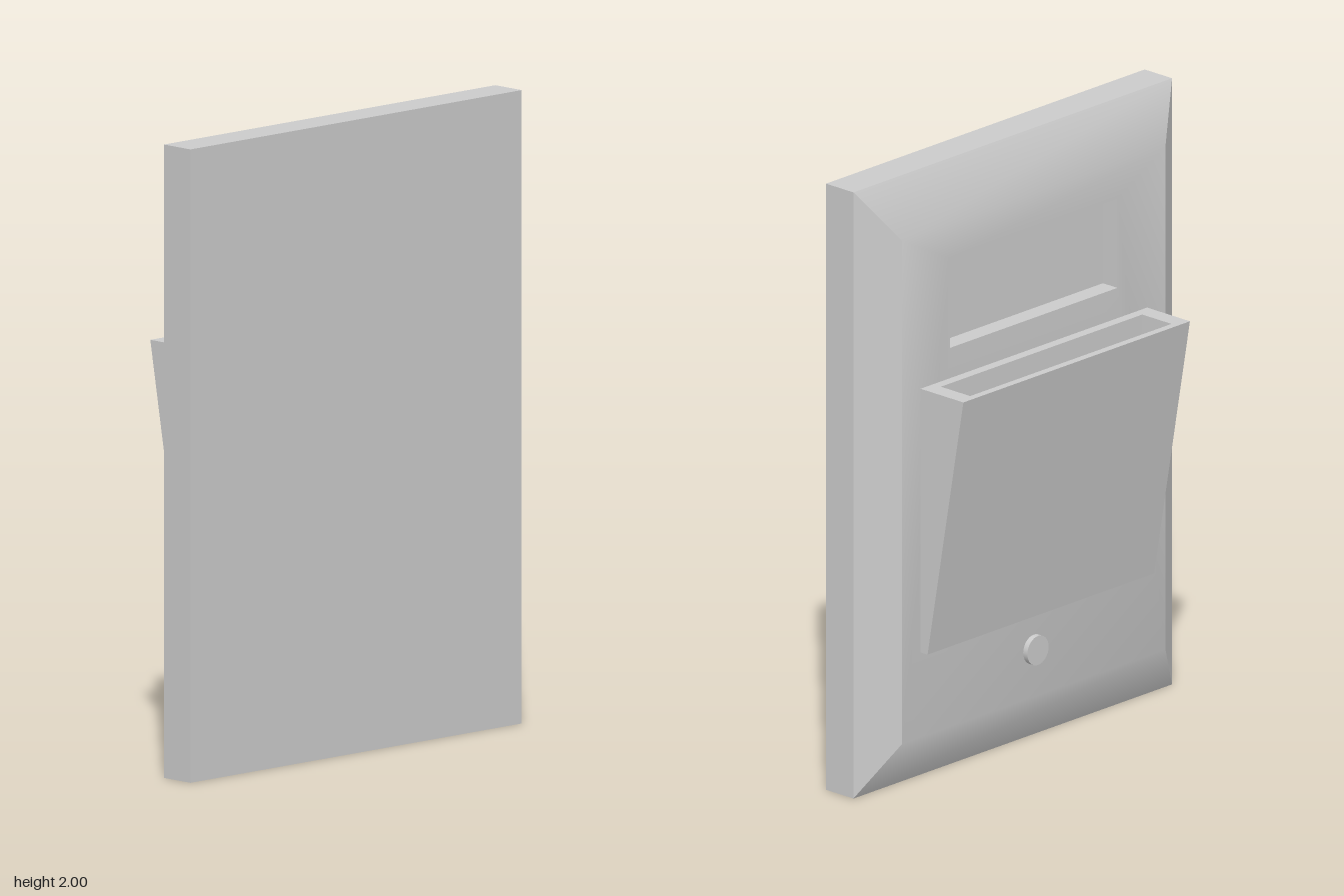
import * as THREE from 'three';
import { mergeGeometries, toCreasedNormals } from 'three/addons/utils/BufferGeometryUtils.js';

const FACE_Z = -0.012; // plane of the raised rear face

// Rectangle rings: upright ones run anticlockwise seen from +z, level ones seen from +y
const upright = (w, y0, y1, z) => [[-w, y0, z], [w, y0, z], [w, y1, z], [-w, y1, z]];
const level = (w, zFront, zBack, y) => [[-w, y, zFront], [w, y, zFront], [w, y, zBack], [-w, y, zBack]];

const quad = (a, b, c, d) => [a, b, c, a, c, d].flat();
const cap = (r) => quad(...r);
const capReversed = (r) => quad(...[...r].reverse());
const band = (a, b) => [0, 1, 2, 3].flatMap((i) => {
  const j = (i + 1) % 4;
  return quad(b[i], b[j], a[j], a[i]);
});

function toGeometry(...pieces) {
  const g = new THREE.BufferGeometry();
  g.setAttribute('position', new THREE.Float32BufferAttribute(pieces.flat(), 3));
  return g;
}

function rectPath(target, [a, b, c, d]) {
  target.moveTo(a[0], a[1]);
  for (const p of [b, c, d]) target.lineTo(p[0], p[1]);
  target.closePath();
  return target;
}

export function createModel() {
  const group = new THREE.Group();
  const material = new THREE.MeshStandardMaterial({ color: 0xcccccc });
  const add = (name, geometry) => {
    const mesh = new THREE.Mesh(geometry, material);
    mesh.name = name;
    group.add(mesh);
    return mesh;
  };

  // Bevelled plate with a recessed label window in its rear face
  const front = upright(0.72, 0, 2, 0.195);
  const edge = upright(0.72, 0, 2, 0.078);
  const rear = upright(0.595, 0.17, 1.83, FACE_Z);
  const opening = upright(0.378, 1.42, 1.715, FACE_Z);
  const windowFloor = upright(0.378, 1.42, 1.715, 0.05);
  const shell = toGeometry(
    cap(front), band(front, edge), band(edge, rear),
    band(opening, windowFloor), capReversed(windowFloor),
  );
  const shape = rectPath(new THREE.Shape(), rear);
  shape.holes.push(rectPath(new THREE.Path(), opening));
  const face = new THREE.ShapeGeometry(shape).toNonIndexed();
  face.rotateY(Math.PI).translate(0, 0, FACE_Z);
  face.deleteAttribute('normal');
  face.deleteAttribute('uv');
  add('backPlate', toCreasedNormals(mergeGeometries([shell, face]), Math.PI / 6));

  // Wedge-shaped pocket with a tapering slot in its top
  const top = level(0.512, FACE_Z, -0.195, 1.32);
  const bottom = level(0.512, FACE_Z, -0.042, 0.45);
  const slot = level(0.455, -0.045, -0.17, 1.32);
  const slotFloor = level(0.455, -0.045, -0.105, 0.94);
  const pocket = toGeometry(
    band(top, bottom), capReversed(bottom),
    band(slot, top), band(slotFloor, slot), cap(slotFloor),
  );
  pocket.computeVertexNormals();
  add('pocket', pocket);

  // Round button below the pocket
  const button = add('button', new THREE.CylinderGeometry(0.048, 0.048, 0.03, 32));
  button.rotation.x = -Math.PI / 2;
  button.position.set(0, 0.327, -0.015);

  return group;
}
